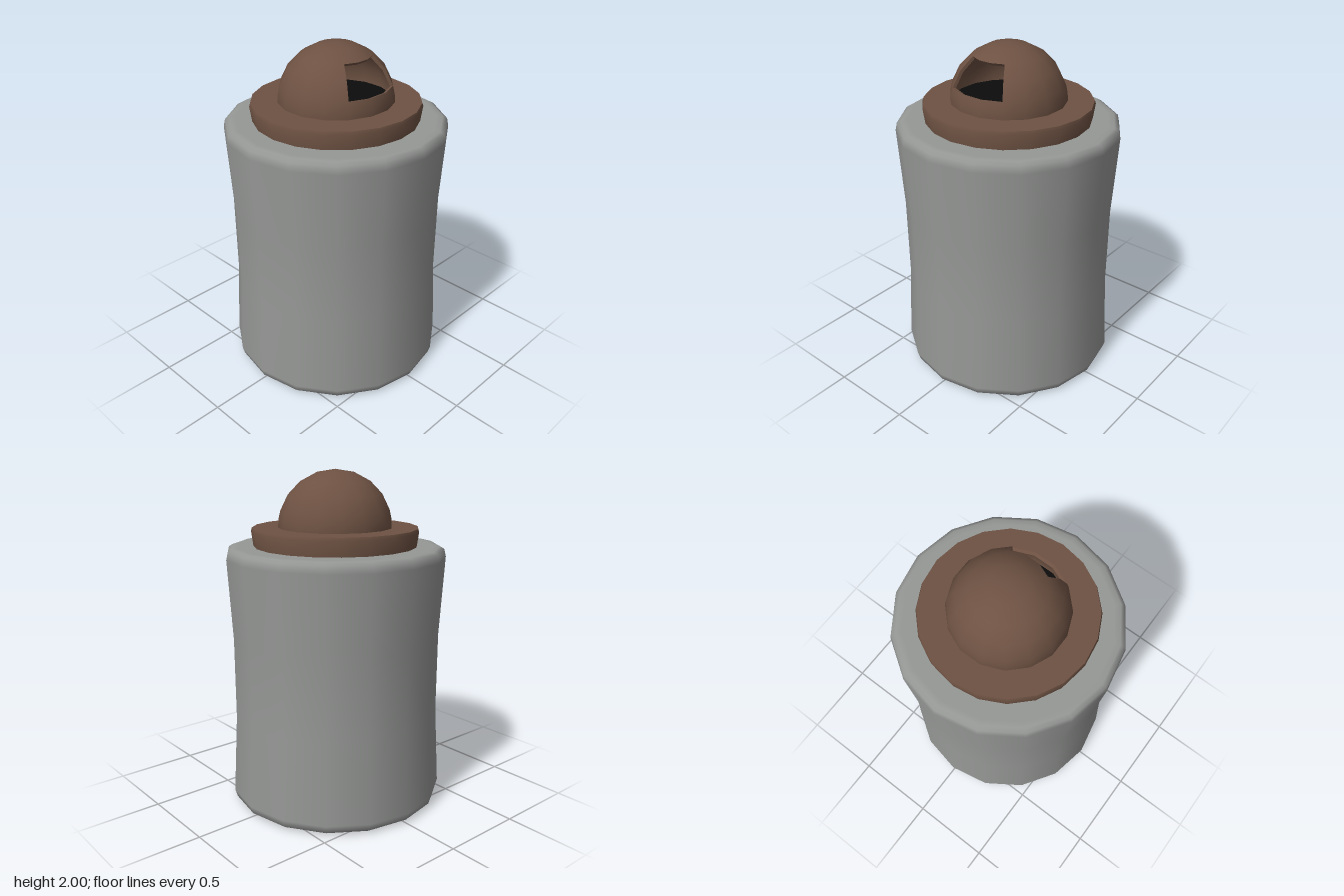
import * as THREE from 'three';
import { toCreasedNormals } from 'three/addons/utils/BufferGeometryUtils.js';

const rad = THREE.MathUtils.degToRad;

export function createModel() {
  const group = new THREE.Group();
  const grey = new THREE.MeshStandardMaterial({ name: 'greyMetal', color: 0x969896 });
  const brown = new THREE.MeshStandardMaterial({ name: 'brown', color: 0x6e5243, side: THREE.DoubleSide });
  const black = new THREE.MeshStandardMaterial({ name: 'blackInside', color: 0x0c0c0c });

  const add = (name, geometry, material, parent = group) => {
    const mesh = new THREE.Mesh(geometry, material);
    mesh.name = name;
    parent.add(mesh);
    return mesh;
  };
  const lathe = (points, sides) =>
    new THREE.LatheGeometry(points.map(([r, y]) => new THREE.Vector2(r, y)), sides);

  // Slightly waisted body with rounded rims
  add('body', lathe([
    [0, 0.005], [0.58, 0.005], [0.61, 0.008], [0.636, 0.025], [0.65, 0.07],
    [0.623, 0.55], [0.623, 1.03], [0.65, 1.5], [0.64, 1.545], [0.615, 1.56],
    [0.58, 1.562], [0, 1.562],
  ], 16), grey);

  // Flat lid
  add('lid', toCreasedNormals(lathe([
    [0, 1.55], [0.48, 1.55], [0.494, 1.65], [0.488, 1.668], [0, 1.668],
  ], 20), 0.6), brown);

  // Dome with a window at the front
  const dome = new THREE.Group();
  dome.name = 'dome';
  dome.position.y = 1.668;
  dome.scale.set(1.012, 1, 1.012);
  group.add(dome);

  const OUTER = 0.332, INNER = 0.314;
  const LOW = 73, HIGH = 37.5, SIDE = 33.75; // window limits in degrees
  const shell = (name, r) => {
    const part = (suffix, sides, phi, phiLength, rows, from, to) =>
      add(name + suffix, new THREE.SphereGeometry(
        r, sides, rows, rad(phi), rad(phiLength), rad(from), rad(to - from)), brown, dome);
    part('Cap', 16, 11.25, 360, 2, 0, HIGH);
    part('Sides', 13, 90 + SIDE, 360 - 2 * SIDE, 2, HIGH, LOW);
    part('Base', 16, 11.25, 360, 1, LOW, 90);
  };
  shell('outerShell', OUTER);
  shell('innerShell', INNER);

  // Window rim joining the two shells
  const loop = [];
  const steps = [-SIDE, -SIDE / 3, SIDE / 3, SIDE];
  const middle = (LOW + HIGH) / 2;
  steps.forEach(a => loop.push([a, LOW]));
  loop.push([SIDE, middle]);
  [...steps].reverse().forEach(a => loop.push([a, HIGH]));
  loop.push([-SIDE, middle]);
  const at = ([a, t], r) => [
    r * Math.sin(rad(t)) * Math.sin(rad(a)),
    r * Math.cos(rad(t)),
    r * Math.sin(rad(t)) * Math.cos(rad(a)),
  ];
  const positions = [];
  loop.forEach((p, i) => {
    const q = loop[(i + 1) % loop.length];
    const a = at(p, OUTER), b = at(q, OUTER), c = at(q, INNER), d = at(p, INNER);
    positions.push(...a, ...b, ...c, ...a, ...c, ...d);
  });
  const rim = new THREE.BufferGeometry();
  rim.setAttribute('position', new THREE.Float32BufferAttribute(positions, 3));
  rim.computeVertexNormals();
  add('windowRim', rim, brown, dome);

  // Dark floor inside the dome
  const floor = add('domeFloor', new THREE.CircleGeometry(0.32, 16), black, dome);
  floor.rotation.x = -Math.PI / 2;
  floor.position.y = 0.006;

  return group;
}
